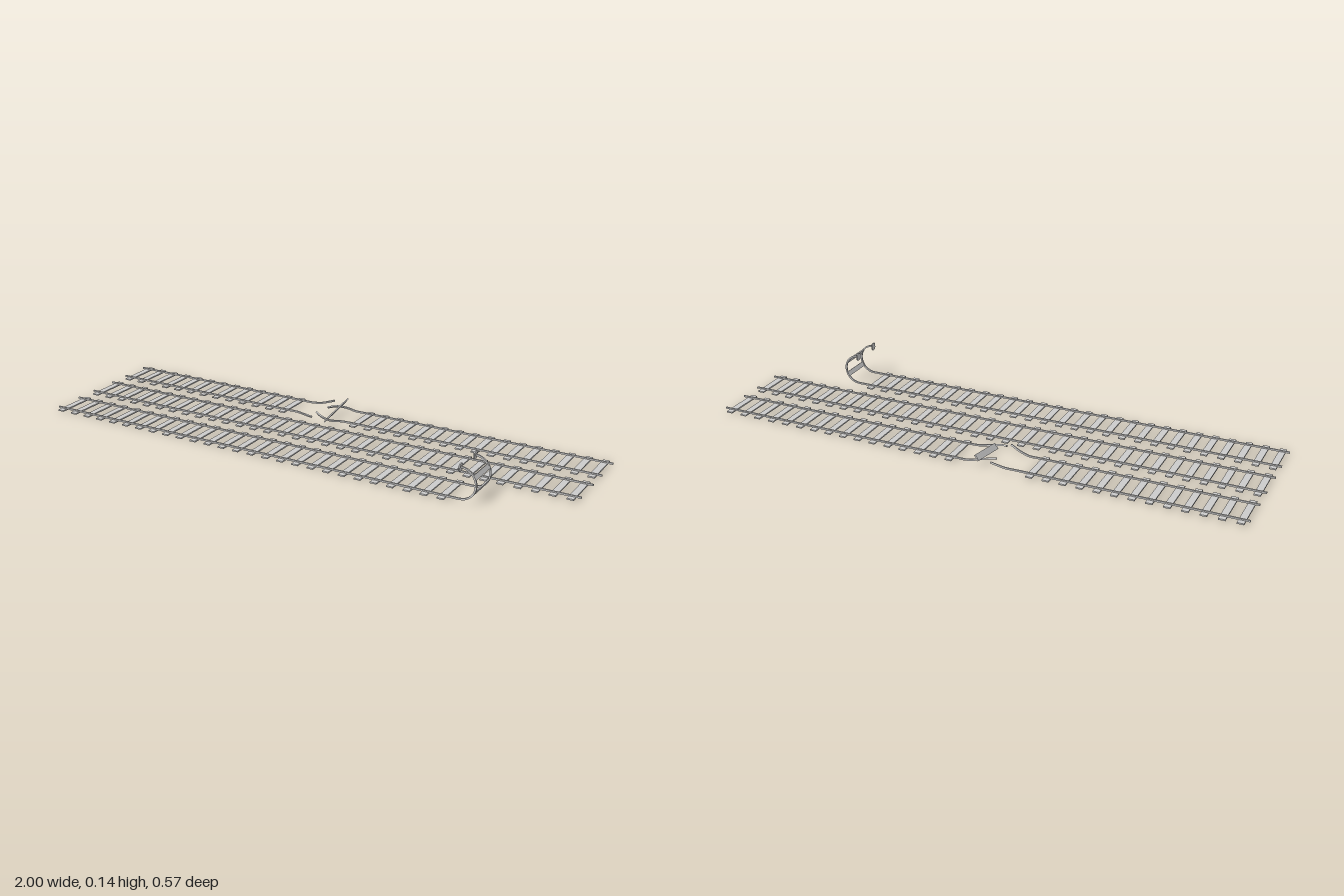
import * as THREE from 'three';

const material = new THREE.MeshStandardMaterial({ color: 0xcccccc });
const RAIL_Y = 0.0115, RAIL_W = 0.006, RAIL_H = 0.006;
const TIE_STEP = 0.0607, TIE_START = -0.973, GAUGE = 0.0575;

function add(parent, name, geometry, x = 0, y = 0, z = 0) {
  const mesh = new THREE.Mesh(geometry, material);
  mesh.name = name;
  mesh.position.set(x, y, z);
  parent.add(mesh);
  return mesh;
}

// Straight rail between two x positions
function straightRail(parent, x0, x1, z) {
  add(parent, 'rail', new THREE.BoxGeometry(x1 - x0, RAIL_H, RAIL_W), (x0 + x1) / 2, RAIL_Y, z);
}

// A bar bent along a curve; points run from -x to +x at the bottom
function bentRail(parent, name, points, twist = () => 0, segments = 24) {
  const curve = new THREE.CatmullRomCurve3(points.map(p => new THREE.Vector3(...p)));
  const geometry = new THREE.BoxGeometry(1, RAIL_H, RAIL_W, segments, 1, 1);
  const pos = geometry.attributes.position;
  for (let i = 0; i < pos.count; i++) {
    const u = THREE.MathUtils.clamp(pos.getX(i) + 0.5, 0, 1);
    const tangent = curve.getTangentAt(u);
    const side = new THREE.Vector3(0, 0, 1).addScaledVector(tangent, -tangent.z).normalize();
    side.applyAxisAngle(tangent, twist(u));
    const up = new THREE.Vector3().crossVectors(side, tangent);
    const p = curve.getPointAt(u).addScaledVector(up, pos.getY(i)).addScaledVector(side, pos.getZ(i));
    pos.setXYZ(i, p.x, p.y, p.z);
  }
  geometry.computeVertexNormals();
  add(parent, name, geometry);
}

function ties(parent, first, last, z) {
  for (let i = first; i <= last; i++) {
    add(parent, 'tie', new THREE.BoxGeometry(0.024, 0.005, 0.161), TIE_START + i * TIE_STEP, 0.0075, z);
  }
}

// Plain track
function straightTrack() {
  const g = new THREE.Group();
  g.name = 'straightTrack';
  ties(g, 0, 32, 0);
  for (const s of [-1, 1]) straightRail(g, -1, 1, s * GAUGE);
  return g;
}

// Track whose rails curl up into an end stop
function endStopTrack() {
  const g = new THREE.Group(), zc = 0.2035, cx = 0.663, r = 0.056, cy = RAIL_Y + r;
  g.name = 'endStopTrack';
  ties(g, 0, 26, zc);

  // Stop pad outline: a rounded rectangle narrowing downwards
  const pad = new THREE.Shape();
  pad.moveTo(-0.006, -0.014);
  pad.lineTo(0.006, -0.014);
  pad.quadraticCurveTo(0.01, -0.012, 0.0115, -0.004);
  pad.lineTo(0.0115, 0.008);
  pad.quadraticCurveTo(0.011, 0.0135, 0.005, 0.014);
  pad.lineTo(-0.005, 0.014);
  pad.quadraticCurveTo(-0.011, 0.0135, -0.0115, 0.008);
  pad.lineTo(-0.0115, -0.004);
  pad.quadraticCurveTo(-0.01, -0.012, -0.006, -0.014);
  const padGeometry = new THREE.ExtrudeGeometry(pad, { depth: 0.004, bevelEnabled: false, curveSegments: 4 });
  padGeometry.rotateY(-Math.PI / 2);

  for (const s of [-1, 1]) {
    const z = zc + s * GAUGE;
    straightRail(g, -1, cx, z);
    const arc = [];
    for (let i = 0; i <= 12; i++) {
      const a = -Math.PI / 2 + Math.PI * i / 12;
      arc.push([cx + r * Math.cos(a), cy + r * Math.sin(a), z]);
    }
    bentRail(g, 'curledRail', arc);
    add(g, 'stopPad', padGeometry, cx + 0.002, 0.122, z);
  }

  // Cross bars follow the curl
  for (const a of [-0.5, 0.5]) {
    const bar = add(g, 'crossBar', new THREE.BoxGeometry(0.005, 0.018, 2 * GAUGE + 0.004),
      cx + r * Math.cos(a), cy + r * Math.sin(a), zc);
    bar.rotation.z = a;
  }
  return g;
}

// Track torn apart in the middle
function brokenTrack() {
  const g = new THREE.Group(), zc = -0.2035;
  g.name = 'brokenTrack';
  const back = zc - GAUGE, front = zc + GAUGE, y = RAIL_Y;
  ties(g, 0, 12, zc);
  ties(g, 17, 32, zc);
  for (const z of [back, front]) {
    straightRail(g, -1, -0.22, z);
    straightRail(g, 0.04, 1, z);
  }
  const startTwist = u => 0.7 * (1 - u) ** 2, endTwist = u => 0.4 * u * u;
  bentRail(g, 'bentRail', [[-0.22, y, back], [-0.19, y, back], [-0.15, 0.015, -0.267], [-0.1, 0.03, -0.277]], endTwist);
  bentRail(g, 'bentRail', [[-0.22, y, front], [-0.19, y, front], [-0.15, 0.014, -0.132], [-0.103, 0.02, -0.108]], endTwist);
  bentRail(g, 'bentRail', [[-0.1, 0.02, -0.224], [-0.07, 0.023, -0.246], [-0.035, 0.018, -0.26], [0, y, back], [0.04, y, back]], startTwist);
  bentRail(g, 'bentRail', [[-0.1, 0.029, -0.139], [-0.07, 0.021, -0.126], [-0.035, 0.013, -0.127], [0.005, y, -0.143], [0.04, y, front]], startTwist);

  // Loose tie thrown on its edge
  const loose = add(g, 'looseTie', new THREE.BoxGeometry(0.024, 0.005, 0.161), -0.051, 0.0252, zc);
  loose.rotation.set(0.17, 0, 0.9);
  return g;
}

export function createModel() {
  const model = new THREE.Group();
  model.name = 'railwayTracks';
  model.add(endStopTrack(), straightTrack(), brokenTrack());
  return model;
}
